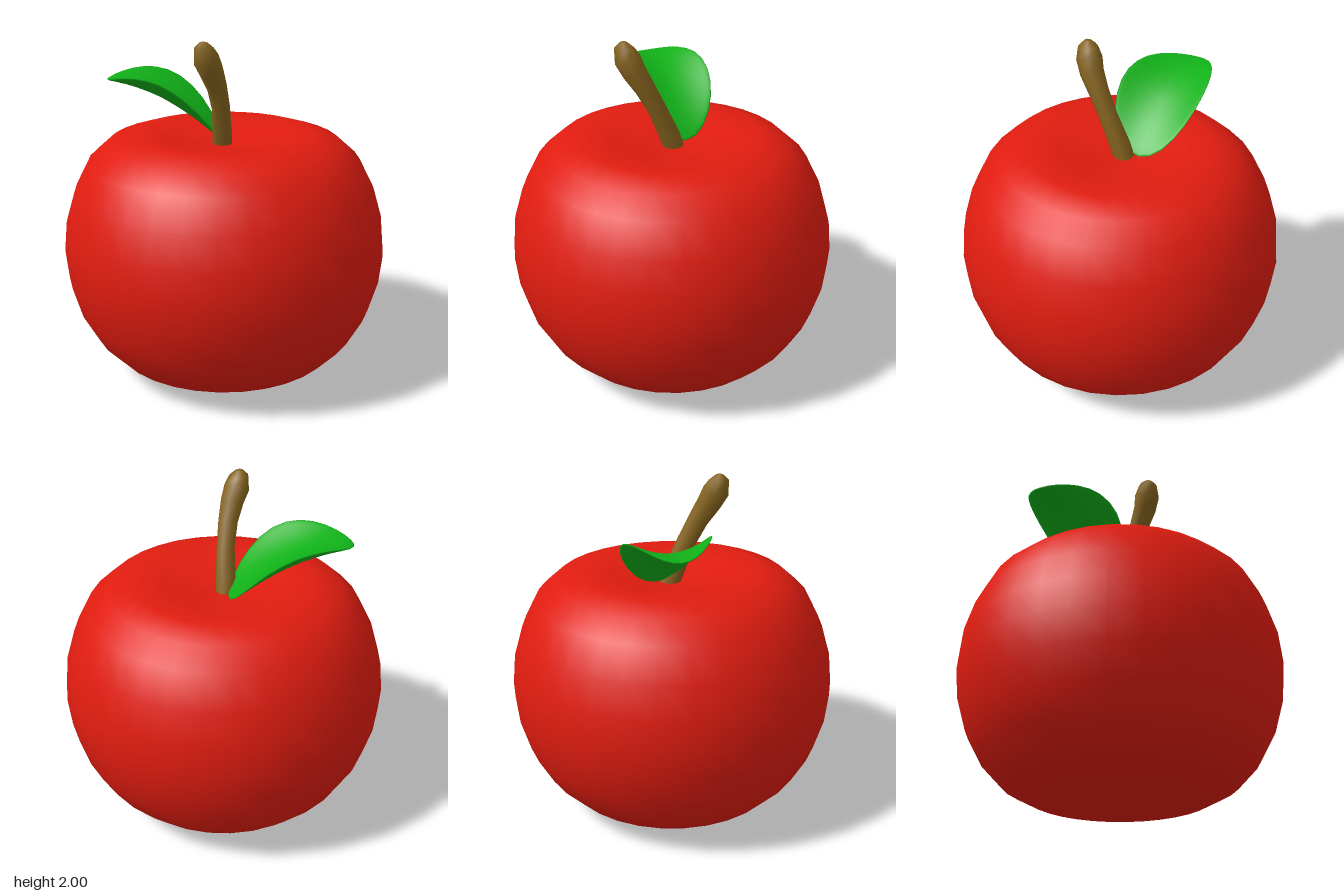
import * as THREE from 'three';
import { mergeVertices } from 'three/addons/utils/BufferGeometryUtils.js';

const paint = (color) => new THREE.MeshStandardMaterial({ color });

function part(name, geometry, color) {
  const mesh = new THREE.Mesh(geometry, paint(color));
  mesh.name = name;
  return mesh;
}

// Weld shared corners so the normals stay smooth across seams
function smooth(geometry) {
  geometry.deleteAttribute('uv');
  geometry.deleteAttribute('normal');
  const welded = mergeVertices(geometry, 1e-4);
  welded.computeVertexNormals();
  return welded;
}

// Round body: rings at even angles, flat underneath, shallow dimple on top
function bodyGeometry() {
  const heights = [0, 0, 0.01, 0.04, 0.115, 0.24, 0.4, 0.585, 0.76,
    0.94, 1.12, 1.29, 1.395, 1.44, 1.42, 1.385, 1.365];
  const profile = heights.map((y, i) =>
    new THREE.Vector2(0.947 * Math.sin((i / 16) * Math.PI), y));
  profile[0].x = profile[16].x = 0;
  return new THREE.LatheGeometry(profile, 32);
}

// Bent stem: horizontal-ish rings swept along a path, closed by a rounded tip
function stemGeometry() {
  const sides = 8;
  // x, y, z, radius
  const rings = [
    [-0.01, 1.3, -0.04, 0.06], [-0.012, 1.44, 0.01, 0.06],
    [-0.015, 1.6, 0.08, 0.054], [-0.033, 1.73, 0.145, 0.058],
    [-0.06, 1.83, 0.2, 0.068], [-0.087, 1.9, 0.228, 0.074],
    [-0.1, 1.965, 0.24, 0.056], [-0.102, 1.995, 0.243, 0.022], [-0.102, 2, 0.243, 0],
  ];
  const centres = rings.map(([x, y, z]) => new THREE.Vector3(x, y, z));
  const up = new THREE.Vector3(0, 1, 0);
  const positions = [];
  const index = [];
  rings.forEach(([, , , r], i) => {
    const dir = centres[Math.min(i + 1, 8)].clone().sub(centres[Math.max(i - 1, 0)]).normalize();
    if (i > 5) dir.copy(up);
    const turn = new THREE.Quaternion().setFromUnitVectors(up, dir);
    for (let j = 0; j < sides; j++) {
      const a = ((j + 0.5) / sides) * Math.PI * 2;
      const p = new THREE.Vector3(r * Math.cos(a), 0, r * Math.sin(a))
        .applyQuaternion(turn).add(centres[i]);
      positions.push(p.x, p.y, p.z);
      if (i === 0) continue;
      const k = (j + 1) % sides;
      const low = (i - 1) * sides;
      const high = i * sides;
      index.push(low + j, high + j, low + k, low + k, high + j, high + k);
    }
  });
  const geometry = new THREE.BufferGeometry();
  geometry.setAttribute('position', new THREE.Float32BufferAttribute(positions, 3));
  geometry.setIndex(index);
  return smooth(geometry);
}

// Leaf: a thin flattened sphere, narrowed to a tip, arched and cupped upward
function leafGeometry() {
  const geometry = new THREE.SphereGeometry(1, 28, 16);
  const pos = geometry.attributes.position;
  for (let i = 0; i < pos.count; i++) {
    const u = pos.getX(i);
    const x = -0.36 + 0.34 * u;
    const w = 0.245 * pos.getZ(i) * (1 + 0.2 * u);
    const arch = 1.715 - 0.73 * (x + 0.7) ** 2;
    pos.setXYZ(i, x, arch + 1.7 * w * w + 0.02 * pos.getY(i), -0.135 + 0.03 * u + w);
  }
  return smooth(geometry);
}

export function createModel() {
  const apple = new THREE.Group();
  apple.name = 'apple';
  apple.add(
    part('body', bodyGeometry(), 0xe01c10),
    part('stem', stemGeometry(), 0x86641e),
    part('leaf', leafGeometry(), 0x10b018),
  );
  return apple;
}
